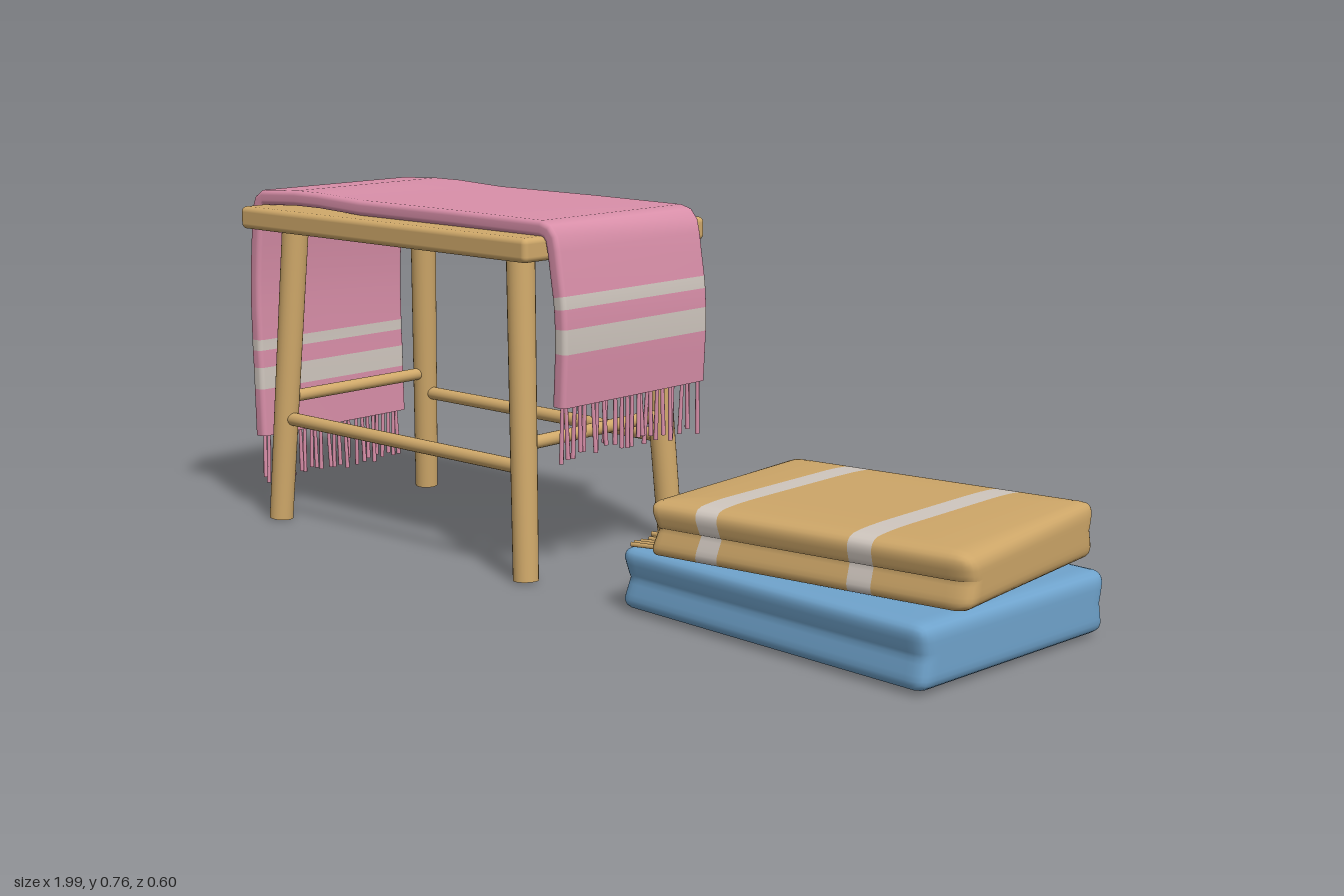
import * as THREE from 'three';
import { mergeVertices } from 'three/addons/utils/BufferGeometryUtils.js';
import { RoundedBoxGeometry } from 'three/addons/geometries/RoundedBoxGeometry.js';

const flat = (name, color) => {
  const m = new THREE.MeshStandardMaterial({ color });
  m.name = name;
  return m;
};

// Small seeded generator, returns -1..1
let seed = 7;
const jitter = () => {
  seed = (seed * 16807) % 2147483647;
  return (seed / 2147483647) * 2 - 1;
};

function part(parent, name, geometry, material) {
  const mesh = new THREE.Mesh(geometry, material);
  mesh.name = name;
  parent.add(mesh);
  return mesh;
}

// Round bar between two points
function bar(parent, name, a, b, rA, rB, material, sides = 20) {
  const from = new THREE.Vector3(...a), to = new THREE.Vector3(...b);
  const dir = to.clone().sub(from);
  const mesh = part(parent, name, new THREE.CylinderGeometry(rB, rA, dir.length(), sides), material);
  mesh.position.copy(from).add(to).multiplyScalar(0.5);
  mesh.quaternion.setFromUnitVectors(new THREE.Vector3(0, 1, 0), dir.normalize());
  return mesh;
}

// Splits triangles into two material groups by a test on each triangle
function setGroups(g, triangles, isSecond) {
  const lists = [[], []];
  triangles.forEach((t) => lists[isSecond(t) ? 1 : 0].push(...t));
  g.setIndex([...lists[0], ...lists[1]]);
  g.clearGroups();
  g.addGroup(0, lists[0].length, 0);
  g.addGroup(lists[0].length, lists[1].length, 1);
}

// Folded textile: rounded slab, creased inward on the sides and one end
function foldedSlab(w, h, d, { radius, pinch, puff, shear = 0, stripes = [] }) {
  let g = new THREE.BoxGeometry(w, h, d, 56, 12, 40);
  g.deleteAttribute('uv');
  g.deleteAttribute('normal');
  g = mergeVertices(g);
  const p = g.attributes.position, v = new THREE.Vector3(), core = new THREE.Vector3();
  const lim = new THREE.Vector3(w / 2 - radius, h / 2 - radius, d / 2 - radius);
  const idx = Array.from(g.index.array), tris = [];
  for (let i = 0; i < idx.length; i += 3) tris.push(idx.slice(i, i + 3));
  setGroups(g, tris, (t) => {
    const x = (p.getX(t[0]) + p.getX(t[1]) + p.getX(t[2])) / 3;
    return stripes.some(([a, b]) => x > a && x < b);
  });
  for (let i = 0; i < p.count; i++) {
    v.fromBufferAttribute(p, i);
    core.copy(v).clamp(lim.clone().negate(), lim);
    v.sub(core).setLength(radius).add(core);
    const crease = pinch * (1 - Math.abs(v.y) / (h / 2));
    const ex = v.x / (w / 2), ez = v.z / (d / 2);
    if (v.y > 0) v.y -= puff * Math.max(ex ** 6, ez ** 6);
    v.z -= crease * ez;
    if (v.x < 0) v.x -= crease * ex;
    v.x -= shear * v.z * (1 - ex ** 6);
    p.setXYZ(i, v.x, v.y, v.z);
  }
  g.computeVertexNormals();
  return g;
}

// Thick cloth: rounded cross-section swept along a path in the x-y plane
function sweptCloth(path, half, halfZ, isStripe) {
  const r = 0.011, ring = [], pos = [], tris = [], stripe = new Map();
  [[1, 1], [-1, 1], [-1, -1], [1, -1]].forEach(([sn, sz], q) => {
    for (let k = 0; k <= 4; k++) {
      const a = (q + k / 4) * Math.PI / 2;
      ring.push([sn * (half - r) + r * Math.cos(a), sz * (halfZ - r) + r * Math.sin(a)]);
    }
  });
  const n = ring.length, last = path.length - 1;
  const addRing = (i) => {
    const a = path[Math.max(0, i - 1)], b = path[Math.min(last, i + 1)];
    const len = Math.hypot(b[0] - a[0], b[1] - a[1]);
    const nx = -(b[1] - a[1]) / len, ny = (b[0] - a[0]) / len;
    const start = pos.length / 3;
    ring.forEach(([o, z]) => pos.push(path[i][0] + nx * o, path[i][1] + ny * o, z));
    return start;
  };
  path.forEach((_, i) => addRing(i));
  for (let i = 0; i < last; i++) {
    const striped = isStripe((path[i][1] + path[i + 1][1]) / 2, path[i][0]);
    for (let j = 0; j < n; j++) {
      const a = i * n + j, b = i * n + (j + 1) % n;
      [[a, b, a + n], [b, b + n, a + n]].forEach((t) => { tris.push(t); stripe.set(t, striped); });
    }
  }
  [0, last].forEach((i) => {
    const s = addRing(i);
    for (let j = 1; j < n - 1; j++) tris.push(i ? [s, s + j, s + j + 1] : [s, s + j + 1, s + j]);
  });
  const g = new THREE.BufferGeometry();
  g.setAttribute('position', new THREE.Float32BufferAttribute(pos, 3));
  setGroups(g, tris, (t) => stripe.get(t));
  g.computeVertexNormals();
  return g;
}

export function createModel() {
  const model = new THREE.Group();
  model.name = 'benchWithTextiles';
  const wood = flat('wood', 0xd0a96a), pink = flat('pinkWool', 0xd98fa9);
  const cream = flat('creamStripe', 0xcfc6be), ochre = flat('ochreWool', 0xcda668);
  const blue = flat('blueWool', 0x6fa3cc);

  // Bench
  const bench = new THREE.Group();
  bench.name = 'bench';
  bench.position.x = -0.49;
  model.add(bench);
  part(bench, 'seat', new RoundedBoxGeometry(0.91, 0.05, 0.55, 4, 0.012), wood).position.y = 0.695;
  for (const s of [-1, 1]) {
    for (const t of [-1, 1])
      bar(bench, 'leg', [s * 0.4, 0, t * 0.226], [s * 0.36, 0.68, t * 0.193], 0.027, 0.03, wood, 24);
    bar(bench, 'longStretcher', [-0.386, 0.235, s * 0.215], [0.386, 0.235, s * 0.215], 0.015, 0.015, wood);
    bar(bench, 'sideStretcher', [s * 0.383, 0.283, -0.212], [s * 0.383, 0.283, 0.212], 0.014, 0.014, wood);
  }

  // Striped throw draped over the bench
  const throwGroup = new THREE.Group();
  throwGroup.name = 'throw';
  model.add(throwGroup);
  const path = [
    [-0.970, 0.18], [-0.972, 0.29], [-0.973, 0.34], [-0.975, 0.38], [-0.975, 0.405], [-0.976, 0.48],
    [-0.974, 0.55], [-0.968, 0.62], [-0.961, 0.68], [-0.957, 0.71], [-0.950, 0.727], [-0.936, 0.736],
    [-0.90, 0.738], [-0.82, 0.742], [-0.74, 0.742], [-0.6, 0.736], [-0.3, 0.736], [-0.05, 0.734],
    [-0.032, 0.729], [-0.021, 0.716], [-0.015, 0.69], [-0.009, 0.65], [-0.001, 0.60], [0.002, 0.575],
    [0.004, 0.535], [0.004, 0.485], [0.001, 0.43], [-0.002, 0.375],
  ];
  const striped = (y, x) => {
    const up = y - (x < -0.5 ? 0.18 : 0.375);
    return (up > 0.11 && up < 0.16) || (up > 0.2 && up < 0.225);
  };
  part(throwGroup, 'throwCloth', sweptCloth(path, 0.017, 0.22, striped), [pink, cream]);
  for (const [x, y] of [[-0.972, 0.18], [-0.002, 0.375]]) {
    for (let i = 0; i < 25; i++) {
      const z = -0.208 + i * 0.0173, px = x + jitter() * 0.008;
      bar(throwGroup, 'throwTassel', [px, y + 0.01, z],
        [px + jitter() * 0.006, y - 0.107 + jitter() * 0.012, z + jitter() * 0.006], 0.004, 0.005, pink, 8);
    }
  }

  // Blue folded blanket at the bottom of the stack
  const lower = part(model, 'blueFoldedBlanket',
    foldedSlab(0.77, 0.126, 0.56, { radius: 0.026, pinch: 0.013, puff: 0.003 }), [blue, blue]);
  lower.position.set(0.595, 0.067, 0);
  lower.rotation.y = -0.065;

  // Ochre folded blanket with cream stripes and fringe
  const upper = new THREE.Group();
  upper.name = 'ochreFoldedBlanket';
  upper.position.set(0.61, 0.188, -0.018);
  upper.rotation.y = 0.11;
  model.add(upper);
  part(upper, 'ochreBody', foldedSlab(0.70, 0.116, 0.52, {
    radius: 0.026, pinch: 0.016, puff: 0.01, shear: 0.11, stripes: [[-0.2125, -0.1625], [0.125, 0.175]],
  }), [ochre, cream]);
  for (let i = 0; i < 24; i++) {
    const z = -0.19 + i * 0.0175;
    bar(upper, 'ochreTassel', [-0.31, -0.048, z],
      [-0.42 + jitter() * 0.012, -0.054 + jitter() * 0.004, z + jitter() * 0.008], 0.0045, 0.005, ochre, 8);
  }
  return model;
}
